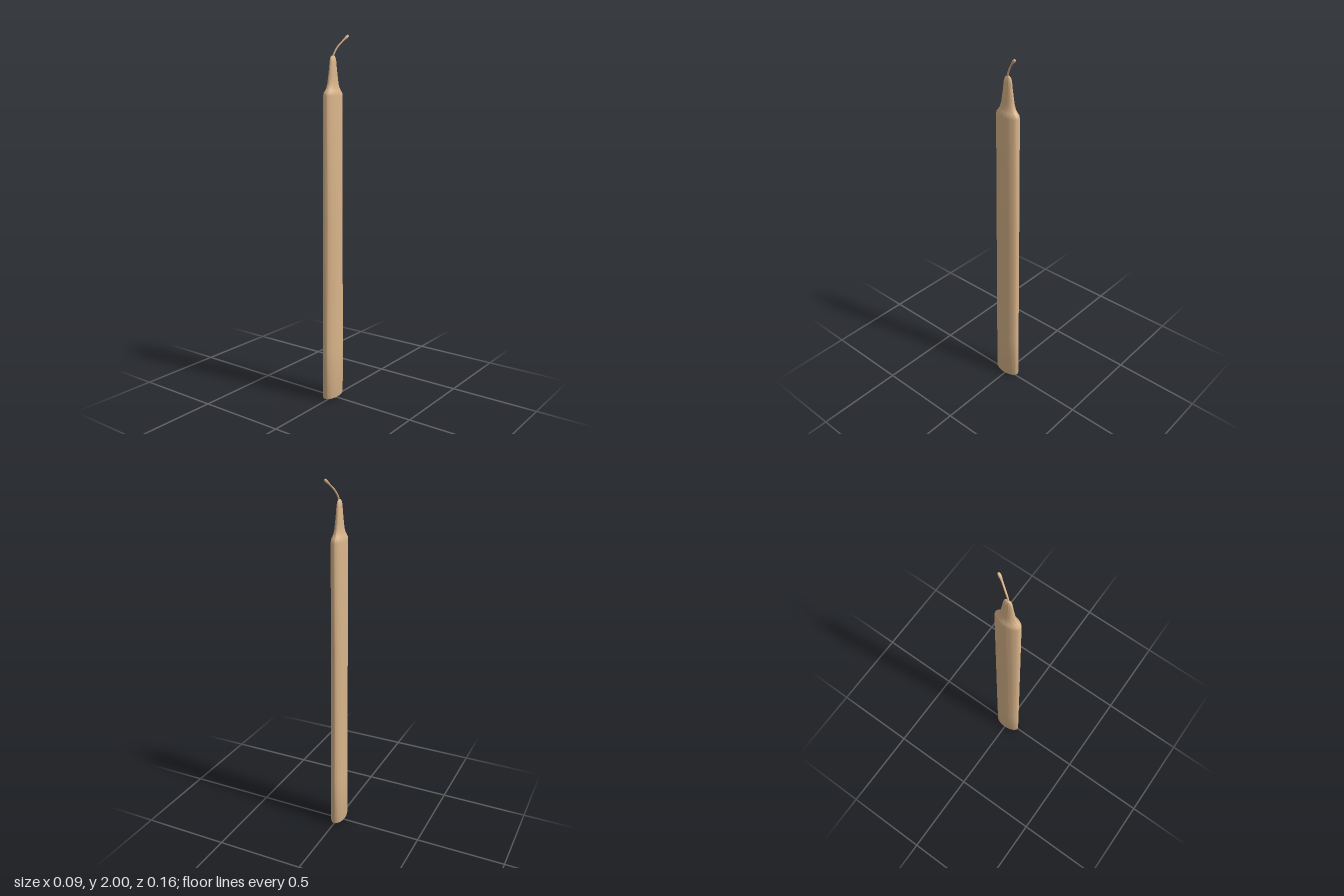
import * as THREE from 'three';
import { toCreasedNormals } from 'three/addons/utils/BufferGeometryUtils.js';

const V = (x, y, z) => new THREE.Vector3(x, y, z);

export function createModel() {
  const group = new THREE.Group();
  group.name = 'candle';
  const wax = new THREE.MeshStandardMaterial({ color: 0xd9b48a });
  const add = (name, geometry) => {
    const mesh = new THREE.Mesh(geometry, wax);
    mesh.name = name;
    group.add(mesh);
    return mesh;
  };

  // Wax body: turned profile with a tapered neck, flattened to an oval
  const profile = [
    [0, 0.012], [0.06, 0.012], [0.074, 0.009], [0.0785, 0.016], [0.078, 0.3],
    [0.075, 1.0], [0.072, 1.685], [0.069, 1.7], [0.058, 1.713], [0.049, 1.727],
    [0.041, 1.75], [0.036, 1.78], [0.029, 1.825], [0.025, 1.86], [0.02, 1.88],
    [0.012, 1.89], [0, 1.893],
  ].map(([r, y]) => new THREE.Vector2(r, y));
  const bodyGeo = new THREE.LatheGeometry(profile, 48);
  bodyGeo.scale(0.485, 1, 1);
  bodyGeo.translate(-0.004, 0, 0.002);
  add('waxBody', toCreasedNormals(bodyGeo, 0.7));

  // Wick: bent cord whose tip swells into a small knob
  const path = new THREE.CatmullRomCurve3([
    V(-0.003, 1.875, 0.004), V(0, 1.9, -0.001), V(0.009, 1.935, -0.02),
    V(0.023, 1.965, -0.045), V(0.032, 1.982, -0.062), V(0.036, 1.992, -0.073),
  ]);
  const steps = 32, sides = 10;
  const wickGeo = new THREE.TubeGeometry(path, steps, 1, sides);
  const pos = wickGeo.attributes.position;
  const p = V(0, 0, 0);
  for (let i = 0; i <= steps; i++) {
    const t = i / steps;
    const knob = 0.0035 * Math.exp(-(((t - 0.94) / 0.09) ** 2));
    const r = 0.0045 + knob;
    const c = path.getPointAt(t);
    for (let j = 0; j <= sides; j++) {
      const k = i * (sides + 1) + j;
      p.fromBufferAttribute(pos, k).sub(c).multiplyScalar(r).add(c);
      pos.setXYZ(k, p.x, p.y, p.z);
    }
  }
  wickGeo.computeVertexNormals();
  add('wick', wickGeo);

  // Rounded end of the wick
  const tip = add('wickTip', new THREE.SphereGeometry(0.007, 12, 8));
  tip.position.copy(path.getPointAt(1));

  // Wick stub showing under the base
  const stub = add('wickStub', new THREE.CylinderGeometry(0.006, 0.005, 0.014, 10));
  stub.position.set(-0.003, 0.007, 0);

  return group;
}
